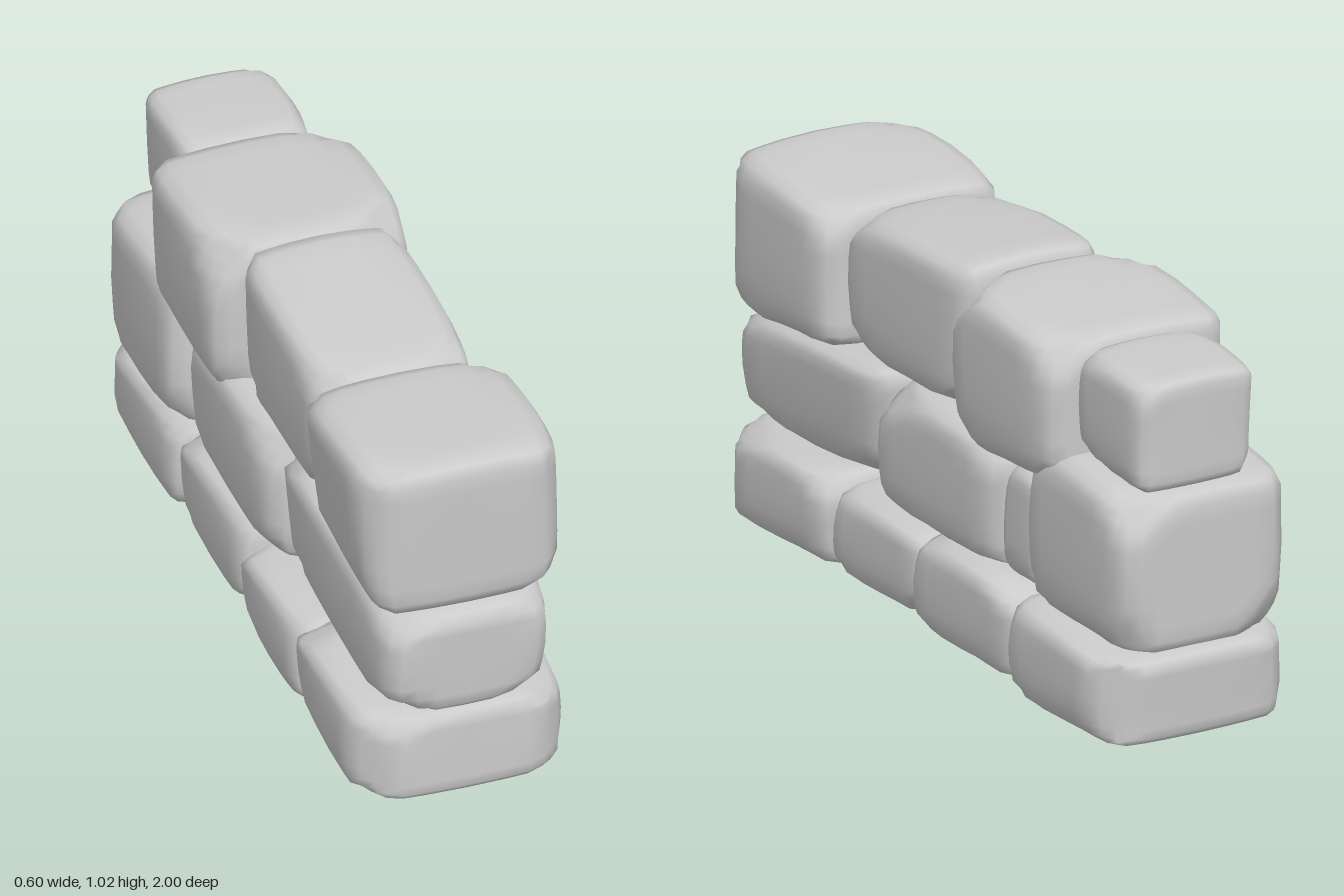
import * as THREE from 'three';
import { mergeVertices } from 'three/addons/utils/BufferGeometryUtils.js';

const material = new THREE.MeshStandardMaterial({ color: 0xcccccc });
const CORNER_LIMIT = 1.18; // the wall's four upright corners are worn to |x| + |z| = this

function seeded(seed) {
  let s = seed * 7919 + 17;
  return () => ((s = (s * 16807) % 2147483647) / 2147483647);
}

// One hewn stone: a rounded cube with chipped corners, stretched over a side outline.
// outline: [z, y] of bottom front, bottom back, top back, top front.
// skew: shift in z of the front and back ends on the stone's -x side.
// taper: how far the foot is drawn in on the -x and +x sides.
function stone(name, seed, outline, [x0, x1], skew = [0, 0], taper = [0, 0]) {
  const rand = seeded(seed);
  for (let i = 0; i < 5; i++) rand();
  const box = new THREE.BoxGeometry(2, 2, 2, 8, 8, 8);
  box.deleteAttribute('uv');
  box.deleteAttribute('normal');
  const geo = mergeVertices(box, 1e-4);

  // chip planes cut across every corner and some of the edges
  const chips = [];
  const addChip = (x, y, z, depth) => {
    const n = new THREE.Vector3(x * (0.5 + rand()), y * (0.5 + rand()), z * (0.5 + rand()));
    const d = (Math.abs(n.x) + Math.abs(n.y) + Math.abs(n.z)) * (depth + rand() * 0.14) / n.length();
    chips.push([n.normalize(), d]);
  };
  for (const x of [-1, 1]) for (const y of [-1, 1]) {
    for (const z of [-1, 1]) addChip(x, y, z, 0.78);
    addChip(x, y, 0.15, 0.86);
  }

  const [bf, bb, tb, tf] = outline;
  const radius = 0.17;
  const phase = rand() * 6;
  const pos = geo.attributes.position;
  const p = new THREE.Vector3();
  for (let i = 0; i < pos.count; i++) {
    p.fromBufferAttribute(pos, i);
    // round the edges, with the rows of vertices drawn towards them
    const a = p.toArray().map((v) => Math.sign(v) * Math.pow(Math.abs(v), 0.7));
    const inner = a.map((v) => THREE.MathUtils.clamp(v, radius - 1, 1 - radius));
    const q = a.map((v, k) => (v - inner[k]) / radius);
    const len = Math.hypot(...q) || 1;
    p.fromArray(inner.map((v, k) => v + radius * q[k] / len));
    // chip
    for (const [n, d] of chips) {
      const over = p.dot(n) - d;
      if (over > 0) p.addScaledVector(n, -over);
    }
    // faces bulge gently and unevenly
    const { x, y, z } = p;
    p.x *= 1 - 0.06 * (y * y + z * z) * (0.8 + 0.5 * Math.sin(phase + 2 * y + 1.5 * z));
    p.y *= 1 - 0.05 * x * x * (1 + 0.8 * Math.sin(phase + 3 * z + y));
    p.z *= 1 - 0.03 * x * x * (1 + 0.5 * Math.sin(phase + 3 * y + z));
    // stretch over the outline
    const u = (1 - p.z) / 2, v = (p.y + 1) / 2, w = (1 - p.x) / 2;
    const at = (k) => (bf[k] * (1 - u) + bb[k] * u) * (1 - v) + (tf[k] * (1 - u) + tb[k] * u) * v;
    const left = x1 - taper[1] * (1 - v), right = x0 + taper[0] * (1 - v);
    p.set(left + (right - left) * w, at(1), at(0) + w * (skew[0] * (1 - u) + skew[1] * u));
    // wear the corners of the wall
    const worn = Math.max(0, Math.abs(p.x) + Math.abs(p.z) - CORNER_LIMIT) / 2;
    pos.setXYZ(i, p.x - Math.sign(p.x) * worn, p.y, p.z - Math.sign(p.z) * worn);
  }
  geo.computeVertexNormals();
  const mesh = new THREE.Mesh(geo, material);
  mesh.name = name;
  return mesh;
}

export function createModel() {
  const wall = new THREE.Group();
  wall.name = 'stoneWall';

  const courses = {
    bottomCourse: [
      [[[0.99, 0.005], [0.45, 0.01], [0.45, 0.275], [0.99, 0.255]], [-0.30, 0.285]],
      [[[0.49, 0.01], [0.03, 0.005], [0.03, 0.25], [0.48, 0.25]], [-0.29, 0.255]],
      [[[0.05, 0.01], [-0.48, 0.005], [-0.47, 0.28], [0.04, 0.28]], [-0.27, 0.28]],
      [[[-0.46, 0.005], [-0.98, 0.01], [-1.0, 0.25], [-0.46, 0.28]], [-0.27, 0.30]],
    ],
    middleCourse: [
      [[[0.98, 0.245], [0.31, 0.285], [0.28, 0.62], [1.0, 0.55]], [-0.23, 0.24], [0, -0.13], [0, 0.03]],
      [[[0.30, 0.24], [-0.29, 0.25], [-0.29, 0.61], [0.30, 0.605]], [-0.25, 0.235], [-0.13, -0.18]],
      [[[-0.29, 0.26], [-0.47, 0.26], [-0.47, 0.575], [-0.31, 0.565]], [-0.08, 0.20]],
      [[[-0.46, 0.25], [-0.96, 0.235], [-0.975, 0.68], [-0.47, 0.70]], [-0.28, 0.24]],
    ],
    topCourse: [
      [[[0.97, 0.55], [0.48, 0.595], [0.48, 0.985], [0.99, 1.0]], [-0.29, 0.27], [0, 0], [0.03, 0]],
      [[[0.48, 0.605], [-0.115, 0.60], [-0.12, 1.035], [0.49, 0.975]], [-0.23, 0.21]],
      [[[-0.13, 0.57], [-0.63, 0.595], [-0.64, 1.005], [-0.12, 1.02]], [-0.29, 0.265]],
      [[[-0.63, 0.69], [-0.95, 0.68], [-0.965, 0.99], [-0.64, 0.99]], [-0.175, 0.185]],
    ],
  };

  let seed = 1;
  for (const [name, stones] of Object.entries(courses)) {
    const course = new THREE.Group();
    course.name = name;
    stones.forEach((args, i) => course.add(stone(`${name}Stone${i + 1}`, seed++, ...args)));
    wall.add(course);
  }
  return wall;
}
